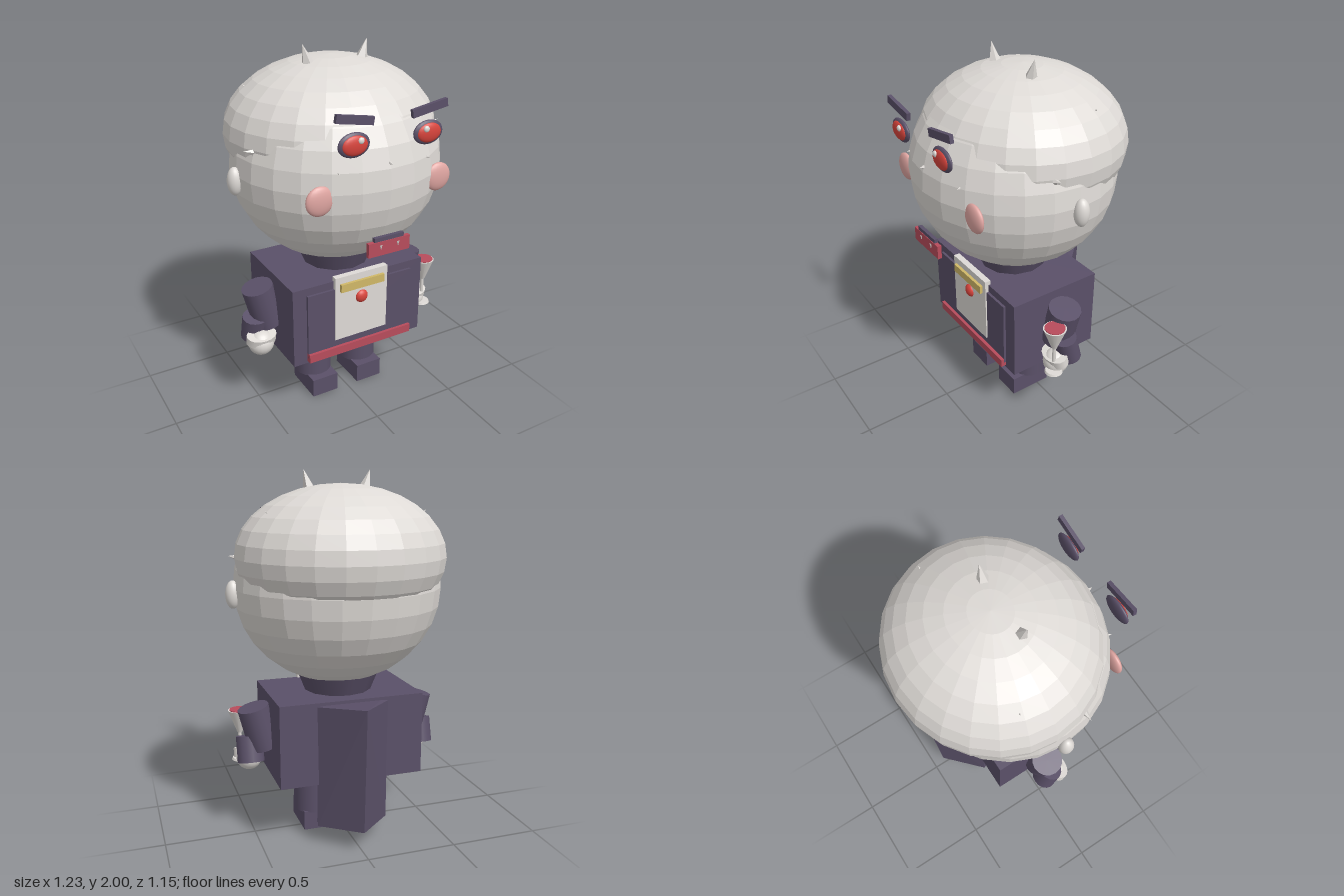
import * as THREE from 'three';
import { ConvexGeometry } from 'three/addons/geometries/ConvexGeometry.js';

const material = (name, color, opts = {}) => {
  const m = new THREE.MeshStandardMaterial({ color, ...opts });
  m.name = name;
  return m;
};

export function createModel() {
  const root = new THREE.Group();
  const flat = { flatShading: true };
  const skin = material('pale skin', 0xdedad6, flat);
  const white = material('white', 0xdedad6);
  const cloth = material('dark cloth', 0x5a5068);
  const crimson = material('crimson lining', 0xb84c5c);
  const red = material('bright red', 0xd8443c);
  const pink = material('blush pink', 0xe0a6a2);
  const gold = material('gold', 0xd0b868);

  const add = (name, geo, mat, pos = [0, 0, 0], rot = [0, 0, 0], parent = root) => {
    const m = new THREE.Mesh(geo, mat);
    m.name = name;
    m.position.set(...pos);
    m.rotation.set(...rot);
    parent.add(m);
    return m;
  };
  const box = (w, h, d) => new THREE.BoxGeometry(w, h, d);
  const cyl = (rt, rb, h, n = 16) => new THREE.CylinderGeometry(rt, rb, h, n);
  const ball = (rx, ry, rz, w = 20, h = 14) => new THREE.SphereGeometry(1, w, h).scale(rx, ry, rz);

  // Small spike whose base sits at a point and which leans along a direction
  const spike = (name, base, dir, r, h, n, mat) => {
    const d = new THREE.Vector3(...dir).normalize();
    const m = add(name, new THREE.ConeGeometry(r, h, n).translate(0, h / 2, 0), mat, base);
    m.quaternion.setFromUnitVectors(new THREE.Vector3(0, 1, 0), d);
  };

  // Head and the bulging crown that overlaps it
  add('head', ball(0.57, 0.53, 0.54, 24, 16), skin, [0, 1.385, 0.02]);
  add('crown', ball(0.57, 0.38, 0.535, 24, 16), skin, [0, 1.55, -0.04]);
  add('neck', cyl(0.228, 0.185, 0.11, 12), cloth, [0, 0.85, 0.02]);

  // Face and head details, mirrored
  for (const s of [1, -1]) {
    spike('horn', [s * 0.157, 1.905, 0.02], [s * 0.3, 1, 0], 0.032, 0.1, 5, skin);
    spike('templeSpike', [s * 0.525, 1.54, 0.145], [s, 0.2, 0], 0.016, 0.05, 5, skin);
    spike('browSpike', [s * 0.245, 1.49, 0.475], [s * 0.3, 0, 1], 0.01, 0.035, 5, skin);
    spike('crownSpike', [s * 0.42, 1.78, -0.163], [s, 0.8, -0.2], 0.006, 0.02, 5, skin);
    add('ear', ball(0.04, 0.075, 0.04), white, [s * 0.577, 1.36, 0.02]);
    add('cheek', ball(0.075, 0.075, 0.026), pink, [s * 0.34, 1.363, 0.47]);
    add('eyeRim', ball(0.085, 0.06, 0.02), cloth, [s * 0.205, 1.637, 0.547]);
    add('iris', ball(0.068, 0.048, 0.018), red, [s * 0.205, 1.637, 0.557]);
    add('eyeGlint', ball(0.016, 0.016, 0.01), white, [s * 0.18, 1.66, 0.57]);
    add('eyebrow', box(0.2, 0.04, 0.02), cloth, [s * 0.205, 1.755, 0.55], [0, 0, s * 0.17]);
    spike('fang', [s * 0.05, 1.105, 0.556], [0, -1, 0.2], 0.009, 0.025, 5, white);
  }
  spike('noseSpike', [0, 1.515, 0.535], [0, 0, 1], 0.01, 0.03, 5, skin);
  add('mouth', box(0.24, 0.075, 0.022), crimson, [0, 1.087, 0.548]);
  add('moustache', box(0.17, 0.026, 0.02), cloth, [0, 1.133, 0.546]);

  // Torso and front dressing
  add('torso', box(0.81, 0.46, 0.54), cloth, [0, 0.576, 0.02]);
  add('waistcoat', box(0.65, 0.38, 0.02), cloth, [0, 0.572, 0.294]);
  add('shirtFront', box(0.326, 0.38, 0.035), white, [0, 0.64, 0.294]);
  add('sash', box(0.65, 0.048, 0.03), crimson, [0, 0.384, 0.306]);
  add('goldBar', box(0.27, 0.046, 0.02), gold, [0, 0.768, 0.318]);
  add('medal', ball(0.038, 0.038, 0.025), red, [0, 0.684, 0.308]);

  // Folded cape with a ridge down the back and a lining with a ridge in front
  const wedge = (ridge, sides) => new ConvexGeometry([
    ...ridge.map(([y, z]) => new THREE.Vector3(0, y, z)),
    ...sides.flatMap(([x, y, z]) => [-x, x].map((v) => new THREE.Vector3(v, y, z))),
  ]);
  add('cape', wedge([[0.81, -0.465], [0.12, -0.435]],
    [[0.2, 0.785, -0.25], [0.2, 0.1, -0.24], [0.19, 0.785, -0.21], [0.19, 0.097, -0.212]]), cloth);
  add('capeLining', wedge([[0.76, -0.17], [0.08, -0.075]],
    [[0.185, 0.76, -0.225], [0.185, 0.095, -0.218]]), crimson);

  // Legs, feet and arms
  for (const s of [1, -1]) {
    add('leg', cyl(0.107, 0.107, 0.25, 20), cloth, [s * 0.152, 0.228, 0.02]);
    add('foot', box(0.16, 0.11, 0.245), cloth, [s * 0.148, 0.055, 0.048]);
    add('upperArm', cyl(0.088, 0.088, 0.24), cloth, [s * 0.458, 0.618, 0.02], [0, 0, -s * 0.25]);
    add('forearm', cyl(0.075, 0.075, 0.145).scale(1, 1, 0.88), cloth, [s * 0.51, 0.495, 0.02], [0.26, 0, 0]);
    add('cuff', cyl(0.085, 0.085, 0.05).scale(1, 1, 0.7), white, [s * 0.505, 0.455, 0.09], [0.26, 0, 0]);
    add('hand', ball(0.072, 0.072, 0.07), white, [s * 0.505, 0.423, 0.085]);
  }

  // Goblet held in the left hand
  const goblet = new THREE.Group();
  goblet.name = 'goblet';
  goblet.position.set(0.545, 0, 0.13);
  root.add(goblet);
  add('bowl', cyl(0.063, 0.014, 0.13, 16), white, [0, 0.625, 0], [0, 0, 0], goblet);
  add('drink', cyl(0.055, 0.055, 0.008, 16), crimson, [0, 0.691, 0], [0, 0, 0], goblet);
  add('stem', cyl(0.01, 0.01, 0.16, 8), white, [0, 0.48, 0], [0, 0, 0], goblet);
  add('base', cyl(0.045, 0.05, 0.012, 16), white, [0, 0.404, 0], [0, 0, 0], goblet);

  return root;
}
